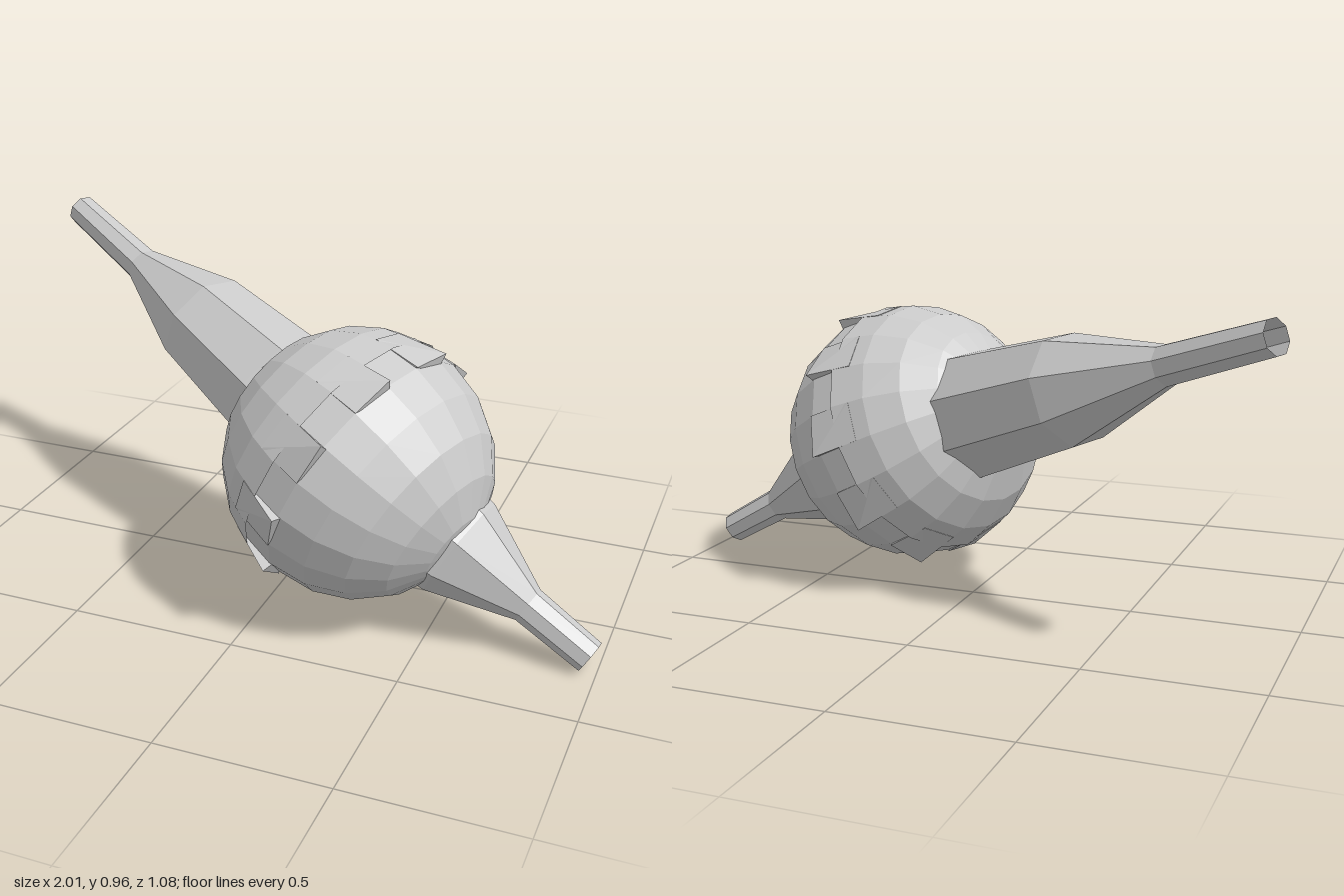
import * as THREE from 'three';
import { ConvexGeometry } from 'three/addons/geometries/ConvexGeometry.js';

const material = new THREE.MeshStandardMaterial({ color: 0xcccccc, flatShading: true, side: THREE.DoubleSide });
const UP = new THREE.Vector3(0, 1, 0);
const CENTRE = new THREE.Vector3(0.255, 0.465, 0.14);
const COLUMNS = 20;

// Turns an object's local y axis towards a direction, rooted at the body's centre
function aim(object, x, y, z) {
  object.quaternion.setFromUnitVectors(UP, new THREE.Vector3(x, y, z).normalize());
  object.position.copy(CENTRE);
  return object;
}

// Open faceted spike; profile holds [radius, distance from the centre]
function spike(name, profile, direction) {
  const points = profile.map(([r, d]) => new THREE.Vector2(r, d));
  const mesh = new THREE.Mesh(new THREE.LatheGeometry(points, 8), material);
  mesh.name = name;
  return aim(mesh, ...direction);
}

// Point on the body, angles in degrees; theta starts at the long spike's pole
function onBody(radius, theta, phi) {
  return new THREE.Vector3().setFromSphericalCoords(radius, THREE.MathUtils.degToRad(theta), THREE.MathUtils.degToRad(phi));
}

export function createModel() {
  const model = new THREE.Group();
  model.name = 'spikedBall';

  const body = new THREE.Group();
  body.name = 'body';
  const half = Math.PI / 2;

  // Two half shells, the rear one slightly larger
  const rear = new THREE.Mesh(new THREE.SphereGeometry(0.398, COLUMNS, 5, 0, Math.PI * 2, 0, half * 0.9), material);
  rear.name = 'rearShell';
  const front = new THREE.Mesh(new THREE.SphereGeometry(0.39, COLUMNS, 6, 0, Math.PI * 2, half * 0.85, Math.PI - half * 0.85), material);
  front.name = 'frontShell';
  body.add(rear, front);

  // Interlocking teeth along the seam, each lifted at one corner
  const step = 360 / COLUMNS;
  for (let i = 0; i < COLUMNS; i += 2) {
    const a = i * step, b = a + step;
    const corners = [
      onBody(0.396, 72, a), onBody(0.396, 72, b),
      onBody(0.395, 94, a), onBody(0.42, 94, b),
      onBody(0.36, 74, a), onBody(0.36, 74, b),
      onBody(0.36, 89, a), onBody(0.36, 96, b),
    ];
    const tooth = new THREE.Mesh(new ConvexGeometry(corners), material);
    tooth.name = 'seamTooth' + (i / 2 + 1);
    body.add(tooth);
  }
  model.add(aim(body, -0.87, 0.42, -0.29));

  // Long spike to the upper right rear, short one to the lower left front
  model.add(spike('longSpike', [[0.2, 0.28], [0.195, 0.36], [0.165, 0.74], [0.058, 1.095], [0.05, 1.46]], [-1.235, 0.455, -0.635]));
  model.add(spike('shortSpike', [[0.165, 0.3], [0.158, 0.37], [0.055, 0.62], [0.05, 0.84]], [0.72, -0.415, 0.107]));

  return model;
}
